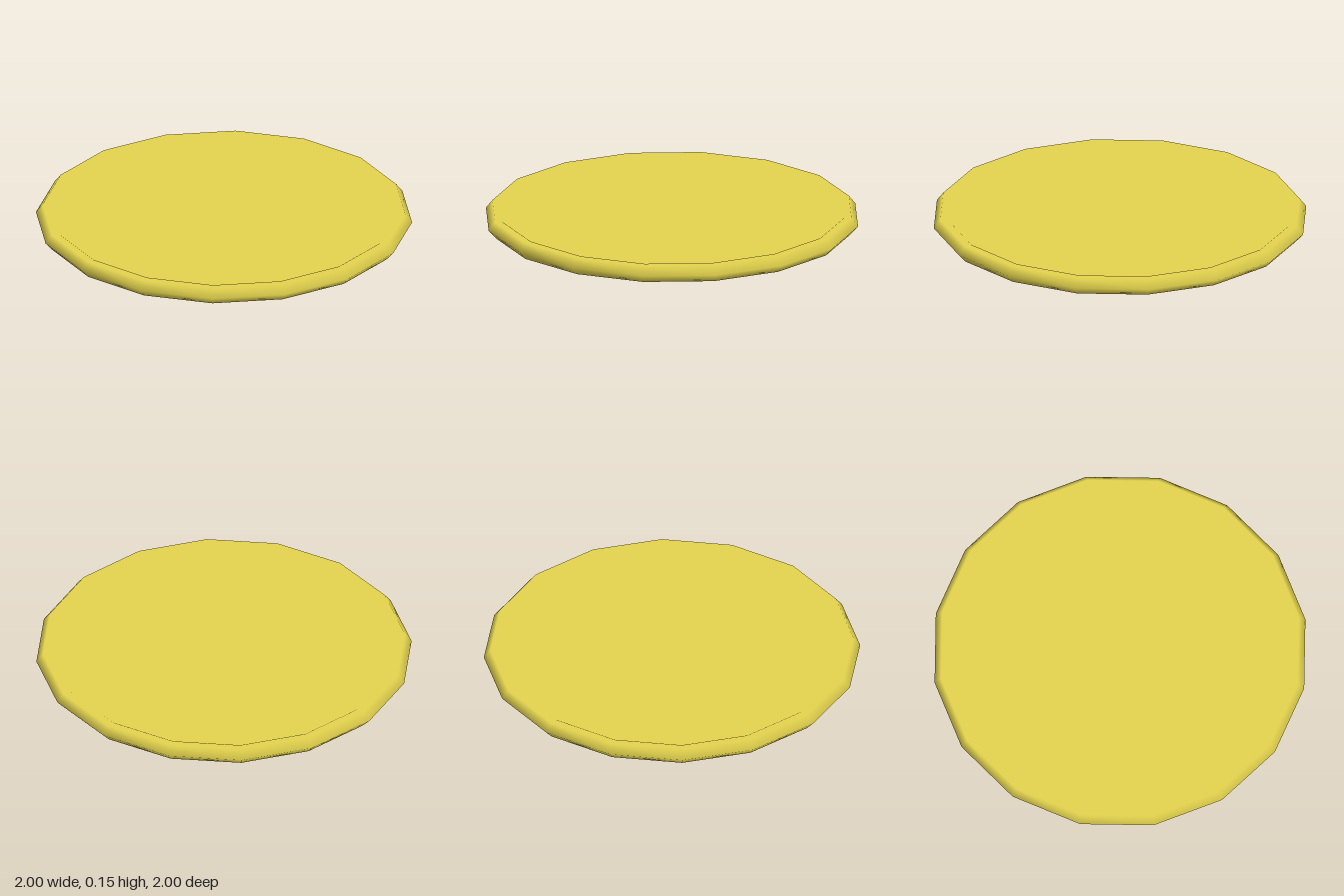
import * as THREE from 'three';

const material = new THREE.MeshStandardMaterial({ color: 0xe4d44e });

// Turned 16-sided part; profile points are [radius, height]. Soft shading:
// normals point up above the split height, down below it, outward at the rim.
function turned(name, profile, split, tilt) {
  const geometry = new THREE.LatheGeometry(profile.map(([r, y]) => new THREE.Vector2(r, y)), 16);
  const { position, normal } = geometry.attributes;
  const n = new THREE.Vector3();
  for (let i = 0; i < position.count; i++) {
    const x = position.getX(i), y = position.getY(i), z = position.getZ(i);
    if (Math.hypot(x, z) > 0.98) n.set(x, 0, z);
    else n.set(x * tilt, y > split ? 1 : -1, z * tilt);
    n.normalize();
    normal.setXYZ(i, n.x, n.y, n.z);
  }
  const mesh = new THREE.Mesh(geometry, material);
  mesh.name = name;
  return mesh;
}

export function createModel() {
  const group = new THREE.Group();
  group.name = 'plate';

  // Bulged rim, flat lip, sloping wall and flat well
  group.add(turned('dish', [
    [0.96, 0.06], [1, 0.105], [0.965, 0.15], [0.925, 0.15], [0.8, 0.065], [0, 0.065],
  ], 0.062, 0));

  // Recessed base, foot ring and one straight slope out to the rim
  group.add(turned('base', [
    [0, 0.02], [0.57, 0.02], [0.58, 0], [0.64, 0], [0.96, 0.06],
  ], 0.05, 0.2));
  return group;
}
